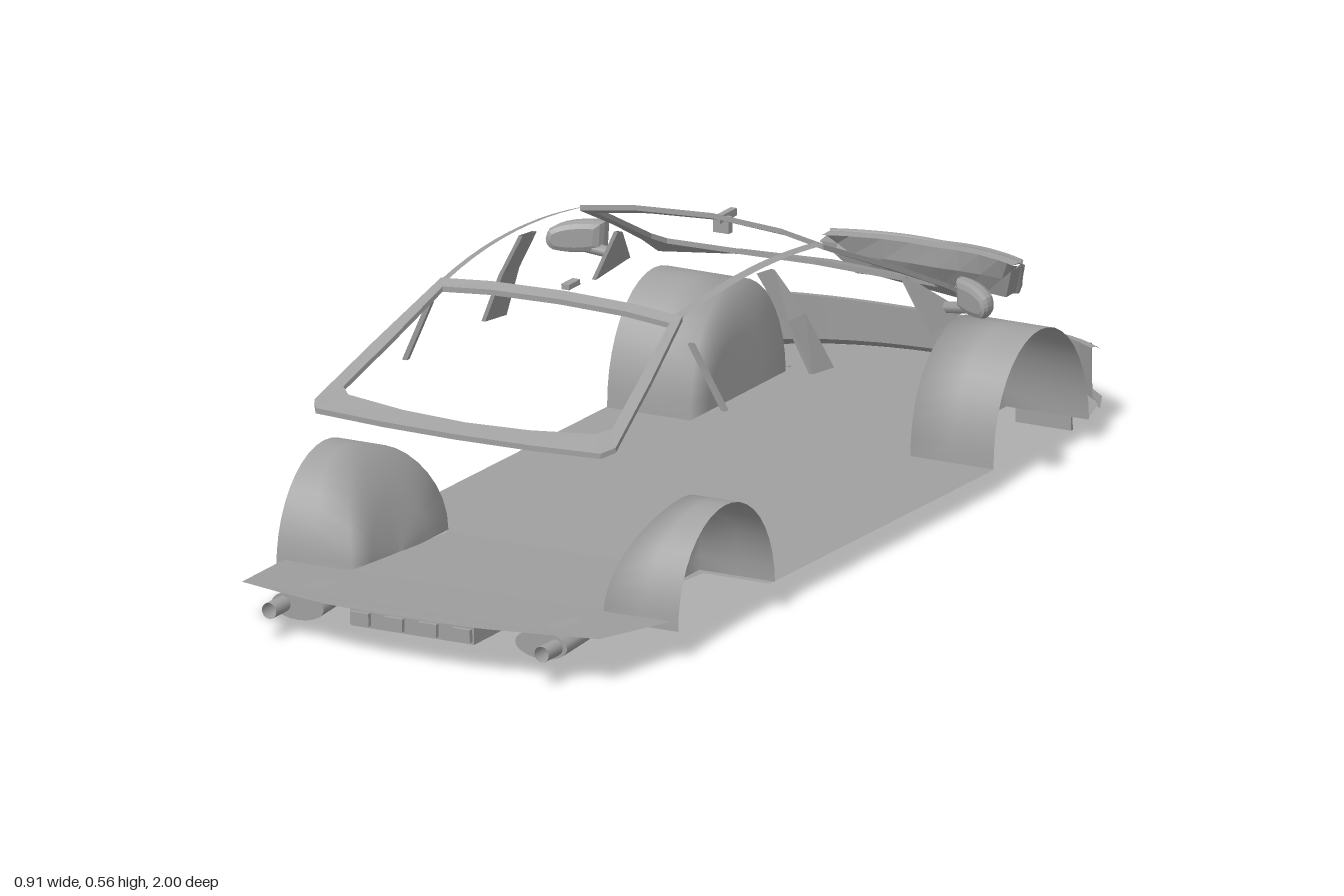
import * as THREE from 'three';

const trim = new THREE.MeshStandardMaterial({ color: 0xa0a0a0, side: THREE.DoubleSide });
trim.name = 'trim grey';

export function createModel() {
  const root = new THREE.Group();
  const car = new THREE.Group();
  car.name = 'carTrim';
  car.rotation.z = 0.0137; // slight lean of the whole body
  root.add(car);

  const add = (name, geometry, parent = car) => {
    const mesh = new THREE.Mesh(geometry, trim);
    mesh.name = name;
    parent.add(mesh);
    return mesh;
  };

  // Skin between cross-sections, each a list of [x, y, z]
  const loft = (sections, { ring = false, loop = false, smooth = false } = {}) => {
    const n = sections[0].length, m = sections.length, index = [];
    for (let i = 0; i < (loop ? m : m - 1); i++) {
      for (let j = 0; j < (ring ? n : n - 1); j++) {
        const a = i * n + j, b = i * n + (j + 1) % n;
        const c = ((i + 1) % m) * n + j, d = ((i + 1) % m) * n + (j + 1) % n;
        index.push(a, c, b, b, c, d);
      }
    }
    let g = new THREE.BufferGeometry();
    g.setAttribute('position', new THREE.Float32BufferAttribute(sections.flat(2), 3));
    g.setIndex(index);
    if (!smooth) g = g.toNonIndexed();
    g.computeVertexNormals();
    return g;
  };
  const range = (a, b, n) => Array.from({ length: n + 1 }, (_, i) => a + (b - a) * i / n);
  const flipX = (p, s) => [p[0] * s, p[1], p[2]];
  const wire = (name, pts, r, parent) => add(name, new THREE.TubeGeometry(
    new THREE.CatmullRomCurve3(pts.map(p => new THREE.Vector3(...p))), Math.max(2, pts.length * 2), r, 5), parent);
  const box = (name, w, h, d, x, y, z) => add(name, new THREE.BoxGeometry(w, h, d)).position.set(x, y, z);

  // Floor pan: [z, half width, height], notched at the wheels and rising at the tail
  const floor = [
    [-1, 0.03, 0.043], [-0.985, 0.14, 0.043], [-0.96, 0.22, 0.043], [-0.93, 0.29, 0.043], [-0.9, 0.335, 0.043],
    [-0.85, 0.37, 0.043], [-0.77, 0.397, 0.043], [-0.77, 0.23, 0.043], [-0.43, 0.23, 0.043], [-0.43, 0.402, 0.043],
    [0.37, 0.402, 0.048], [0.37, 0.265, 0.048], [0.72, 0.265, 0.072], [0.72, 0.4, 0.072], [0.92, 0.37, 0.09],
    [0.955, 0.27, 0.094], [0.985, 0.16, 0.097], [0.998, 0.05, 0.099],
  ];
  add('floorPan', loft(floor.map(([z, w, y]) => [[-w, y, z], [w, y, z]])));

  // Wheel arches: curved tunnel closed by an inner wall
  const arch = (name, s, zc, r, base, top, xo, xiLow, xiTop) => {
    add(name, loft(range(0, Math.PI, 20).map(t => {
      const h = Math.sin(t), y = base + (top - base) * h, z = zc + r * Math.cos(t);
      const xi = xiLow + (xiTop - xiLow) * h * h;
      return [[xo, y, z], [(xo + xi) / 2, y, z], [xi, y, z],
        [xiLow + (xi - xiLow) * 0.3, base + (y - base) * 0.5, zc + (z - zc) * 0.6], [xiLow, base, zc]]
        .map(p => flipX(p, s));
    }), { smooth: true }));
  };

  // Window frames: thin closed loops from half outlines
  const frame = (name, outer, inner) => {
    const full = half => [...half, ...half.slice(1, -1).reverse().map(p => flipX(p, -1))];
    const o = full(outer), q = full(inner);
    add(name, loft(o.map((p, i) => [p, q[i], [q[i][0], q[i][1] - 0.01, q[i][2]], [p[0], p[1] - 0.01, p[2]]]),
      { ring: true, loop: true }));
  };
  frame('rearWindowFrame',
    [[0, 0.545, 0.395], [0.15, 0.543, 0.4], [0.25, 0.537, 0.408], [0.283, 0.466, 0.58], [0.312, 0.395, 0.755],
      [0.295, 0.388, 0.78], [0.15, 0.386, 0.79], [0, 0.386, 0.795]],
    [[0, 0.536, 0.418], [0.14, 0.534, 0.421], [0.235, 0.528, 0.428], [0.257, 0.466, 0.575], [0.278, 0.412, 0.71],
      [0.255, 0.406, 0.732], [0.13, 0.4, 0.75], [0, 0.398, 0.757]]);
  frame('windshieldFrame',
    [[0, 0.547, -0.13], [0.15, 0.544, -0.115], [0.252, 0.536, -0.09], [0.288, 0.455, -0.27], [0.318, 0.382, -0.42],
      [0.325, 0.34, -0.49], [0.18, 0.342, -0.54], [0, 0.343, -0.558]],
    [[0, 0.537, -0.155], [0.14, 0.533, -0.142], [0.236, 0.526, -0.12], [0.266, 0.456, -0.27], [0.292, 0.39, -0.41],
      [0.28, 0.373, -0.445], [0.15, 0.366, -0.47], [0, 0.363, -0.487]]);

  // Parts that appear on both sides
  for (const s of [1, -1]) {
    const side = s > 0 ? 'left' : 'right';
    arch(side + 'FrontWheelArch', s, -0.6, 0.17, 0.043, 0.258, 0.4, 0.228, 0.232);
    arch(side + 'RearWheelArch', s, 0.547, 0.172, 0.055, 0.246, 0.416, 0.26, 0.325);

    // Roof rail
    add(side + 'RoofRail', loft(range(-0.1, 0.41, 10).map(z => {
      const y = 0.557 - 0.32 * (z - 0.16) ** 2;
      const x = 0.248 - 0.1 * (z - 0.16) ** 2;
      return [[x + 0.008, y - 0.004, z], [x - 0.008, y, z]].map(p => flipX(p, s));
    })));

    // Pillar trims
    const plate = (name, pts, t) => add(side + name, loft(pts.map(([a, b]) =>
      [a, b, [b[0] - t, b[1], b[2]], [a[0] - t, a[1], a[2]]].map(p => flipX(p, s))), { ring: true }));
    plate('CentrePillarTrim', [[[0.343, 0.352, 0.032], [0.343, 0.36, 0.108]],
      [[0.3, 0.455, 0.058], [0.3, 0.455, 0.119]], [[0.25, 0.535, 0.08], [0.25, 0.54, 0.13]]], 0.008);
    plate('RearDoorStrip', [[[0.335, 0.37, 0.394], [0.335, 0.37, 0.404]], [[0.275, 0.49, 0.407], [0.275, 0.49, 0.417]]], 0.01);
    plate('MirrorSail', [[[0.352, 0.325, -0.3], [0.35, 0.335, -0.42]], [[0.3, 0.425, -0.292], [0.301, 0.42, -0.31]]], 0.008);

    // Door mirror, swept back towards its tip
    const m = new THREE.Shape();
    m.moveTo(0.368, 0.36);
    m.lineTo(0.365, 0.412);
    m.quadraticCurveTo(0.425, 0.42, 0.452, 0.4);
    m.quadraticCurveTo(0.466, 0.375, 0.445, 0.36);
    m.quadraticCurveTo(0.41, 0.35, 0.368, 0.36);
    const g = new THREE.ExtrudeGeometry(m, { depth: 0.014, bevelEnabled: true, bevelThickness: 0.014,
      bevelSize: 0.012, bevelOffset: -0.012, bevelSegments: 2, curveSegments: 6 });
    const pos = g.attributes.position;
    for (let i = 0; i < pos.count; i++) {
      const x = pos.getX(i);
      pos.setXYZ(i, x * s, pos.getY(i), pos.getZ(i) - 0.385 + (x - 0.365) * 0.55);
    }
    g.computeVertexNormals();
    add(side + 'DoorMirror', g);
    wire(side + 'MirrorArm', [[0.335 * s, 0.352, -0.375], [0.4 * s, 0.366, -0.355]], 0.011);

    // Mud flap ahead of the front wheel
    box(side + 'MudFlap', 0.115, 0.036, 0.006, 0.292 * s, 0.027, -0.795);

    // Exhaust: oval bezel, silencer and tailpipe
    const bezel = add(side + 'ExhaustBezel', new THREE.CylinderGeometry(1, 0.85, 0.11, 20, 1));
    bezel.rotation.x = Math.PI / 2;
    bezel.scale.set(0.054, 1, 0.026);
    bezel.position.set(0.252 * s, 0.063, 0.87);
    const pipe = add(side + 'Tailpipe', new THREE.CylinderGeometry(0.015, 0.015, 0.08, 14, 1, true));
    pipe.rotation.x = Math.PI / 2;
    pipe.position.set(0.282 * s, 0.063, 0.935);
    wire(side + 'ExhaustPipe', [[0.25 * s, 0.06, 0.84], [0.24 * s, 0.05, 0.76], [0.12 * s, 0.043, 0.74], [0, 0.041, 0.74]], 0.01);
  }

  // Rear under-bumper centre piece with raised blocks
  box('rearCentrePanel', 0.255, 0.032, 0.1, 0, 0.068, 0.9);
  for (const x of [-0.105, -0.035, 0.035, 0.105]) box('rearPanelBlock', 0.038, 0.024, 0.012, x, 0.069, 0.953);

  // Roof aerial and cabin mirror
  box('roofAerial', 0.016, 0.01, 0.04, 0, 0.552, 0.375);
  box('cabinMirror', 0.032, 0.03, 0.014, 0, 0.517, -0.165);
  box('cabinMirrorStem', 0.012, 0.014, 0.06, 0, 0.53, -0.175);

  // Upper grille: shallow tub with a fine lattice
  const upper = new THREE.Group();
  upper.name = 'upperGrille';
  car.add(upper);
  const topY = x => 0.268 + 0.06 * Math.abs(x);
  const lowY = x => Math.abs(x) < 0.155 ? 0.192 + 0.4 * x * x : 0.2016 + (Math.abs(x) - 0.155) * 1.6;
  const gz = (x, y) => -0.98 + (y - 0.19) * 0.45 + 1.5 * x * x;
  const gx = [-0.198, -0.18, -0.155, -0.1, -0.05, 0, 0.05, 0.1, 0.155, 0.18, 0.198];
  add('grilleTub', loft(gx.map(x => [[x, topY(x), gz(x, topY(x)) - 0.006], [x, topY(x), gz(x, topY(x)) + 0.03],
    [x, (topY(x) + lowY(x)) / 2, -0.915 + 1.2 * x * x], [x, lowY(x), gz(x, lowY(x)) + 0.04],
    [x, lowY(x), gz(x, lowY(x)) - 0.006]])), upper);
  for (const f of [0, 0.25, 0.5, 0.75, 1]) {
    wire('grilleBar', gx.map(x => {
      const y = lowY(x) + (topY(x) - lowY(x)) * f;
      return [x, y, gz(x, y)];
    }), f % 1 ? 0.002 : 0.005, upper);
  }
  for (const x of range(-0.15, 0.15, 12)) {
    wire('grilleSlat', [[x, lowY(x), gz(x, lowY(x))], [x, topY(x), gz(x, topY(x))]], 0.0018, upper);
  }

  // Lower grille: wraparound backing, rims and lattice in two halves
  const lower = new THREE.Group();
  lower.name = 'lowerGrille';
  car.add(lower);
  const fz = x => -0.993 + 0.6 * x * x + 2.5 * x ** 4;
  const rise = x => 0.126 + 0.2 * x * x;
  const wide = range(-0.37, 0.37, 16);
  add('grilleBacking', loft(wide.map(x => [[x, rise(x) - 0.008, fz(x)], [x, rise(x), fz(x) + 0.012],
    [x, rise(x) + 0.004, fz(x) + 0.035], [x, 0.06, fz(x) + 0.03], [x, 0.043, fz(x)]])), lower);
  add('frontLip', loft(wide.map(x => [[x, 0.035, fz(x) + 0.004], [x, 0.056, fz(x) - 0.004]])), lower);
  for (const s of [1, -1]) {
    const half = range(0.02, 0.33, 8);
    for (const y of [0.064, 0.08, 0.096, 0.112]) {
      wire('lowerBar', half.map(x => [x * s, y, fz(x)]), 0.0022, lower);
    }
    for (const x of range(0.02, 0.33, 9)) {
      wire('lowerSlat', [[x * s, 0.054, fz(x)], [x * s, rise(x) - 0.006, fz(x)]], 0.0022, lower);
    }
  }
  return root;
}
